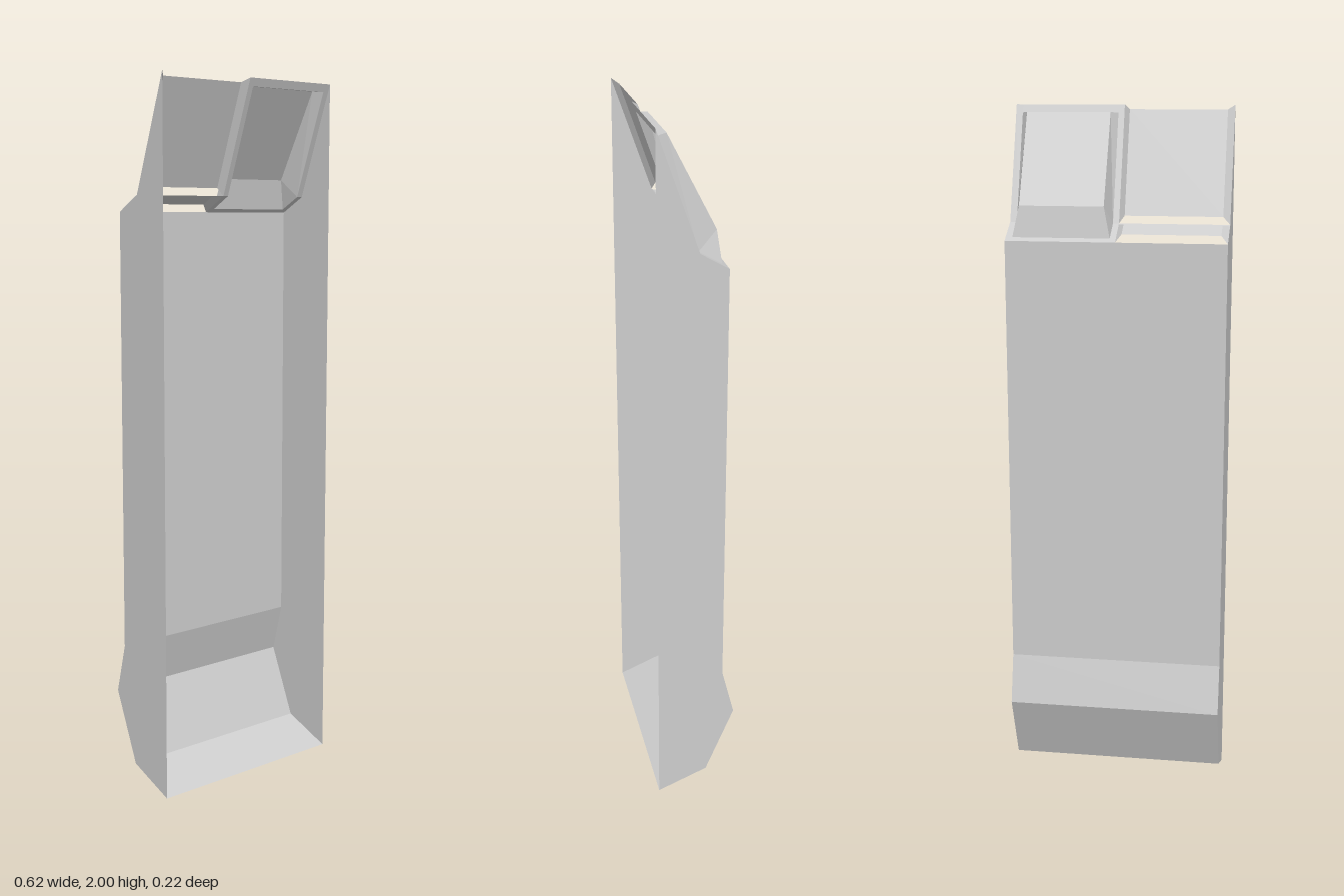
import * as THREE from 'three';

// Builds a mesh from flat polygons, each a loop of [x, y, z] corners
function faces(name, polys, material) {
  const pos = [];
  for (const p of polys) {
    for (let i = 1; i < p.length - 1; i++) pos.push(...p[0], ...p[i], ...p[i + 1]);
  }
  const g = new THREE.BufferGeometry();
  g.setAttribute('position', new THREE.Float32BufferAttribute(pos, 3));
  g.computeVertexNormals();
  const mesh = new THREE.Mesh(g, material);
  mesh.name = name;
  return mesh;
}

// Quad across x0..x1 between two [z, y] profile points
const strip = (x0, x1, a, b) => [[x0, a[1], a[0]], [x0, b[1], b[0]], [x1, b[1], b[0]], [x1, a[1], a[0]]];
const at = (x, p) => [x, p[1], p[0]];

export function createModel() {
  const group = new THREE.Group();
  const grey = new THREE.MeshStandardMaterial({ color: 0xcccccc, side: THREE.DoubleSide, flatShading: true });
  grey.name = 'light grey';
  const W = 0.31;

  // Profile as [z, y], from the bottom front edge up the back to the top
  const back = [[0.113, 0], [-0.03, 0.06], [-0.112, 0.26], [-0.077, 0.4], [-0.077, 1.635]];
  const low = back[4], knee = [0, 1.68], top = [0.113, 2];
  const mix = (a, b, t) => [a[0] + (b[0] - a[0]) * t, a[1] + (b[1] - a[1]) * t];

  // Open-fronted shell
  group.add(faces('backShell', back.slice(1).map((p, i) => strip(-W, W, back[i], p)), grey));

  // Side walls
  const outline = new THREE.Shape([...back, knee, top].map(([z, y]) => new THREE.Vector2(-z, y)));
  for (const s of [-1, 1]) {
    const wall = new THREE.Mesh(new THREE.ShapeGeometry(outline), grey);
    wall.rotation.y = Math.PI / 2;
    wall.position.x = s * W;
    wall.name = s > 0 ? 'leftWall' : 'rightWall';
    group.add(wall);
  }

  // Flat frame around the raised hood
  const x0 = 0.017, x1 = 0.291;
  const b0 = mix(low, knee, 0.2), b2 = mix(knee, top, 0.93);
  const frame = [strip(x0, x1, low, b0), strip(x0, x1, b2, top)];
  for (const [a, b] of [[0, x0], [x1, W]]) frame.push(strip(a, b, low, knee), strip(a, b, knee, top));
  group.add(faces('hoodFrame', frame, grey));

  // Raised hood with tapered cheeks
  const t0 = [-0.051, 1.73], t1 = [0.078, 1.98], i0 = 0.035, i1 = 0.273;
  const slope = (a, b) => [at(x0, a), at(i0, b), at(i1, b), at(x1, a)];
  const hood = [slope(b0, t0), strip(i0, i1, t0, t1), slope(b2, t1)];
  for (const [o, i] of [[x0, i0], [x1, i1]]) {
    hood.push([at(o, b0), at(o, knee), at(i, t0)], [at(o, knee), at(o, b2), at(i, t1), at(i, t0)]);
  }
  group.add(faces('hood', hood, grey));

  // Two slightly raised panels with open lower gaps
  function panel(name, a, b, topEdge) {
    const len = Math.hypot(b[0] - a[0], b[1] - a[1]), inset = 0.0185 / len;
    const n = [-(b[1] - a[1]) / len * 0.0144, (b[0] - a[0]) / len * 0.0144];
    const lift = (t) => mix(a, b, t).map((v, i) => v + n[i]);
    const p = lift(inset), q = lift(1 - inset), l = -0.291, r = -0.017;
    const polys = [strip(l, r, p, q)];
    for (const [o, i] of [[-W, l], [0, r]]) polys.push([at(o, a), at(i, p), at(i, q), at(o, b)]);
    if (topEdge) polys.push([at(-W, b), at(l, q), at(r, q), at(0, b)]);
    group.add(faces(name, polys, grey));
  }
  panel('lowerPanel', low, mix(low, knee, 0.93), true);
  panel('upperPanel', knee, top, false);
  group.add(faces('crossRail', [strip(-W, 0, mix(low, knee, 0.93), knee)], grey));

  return group;
}
